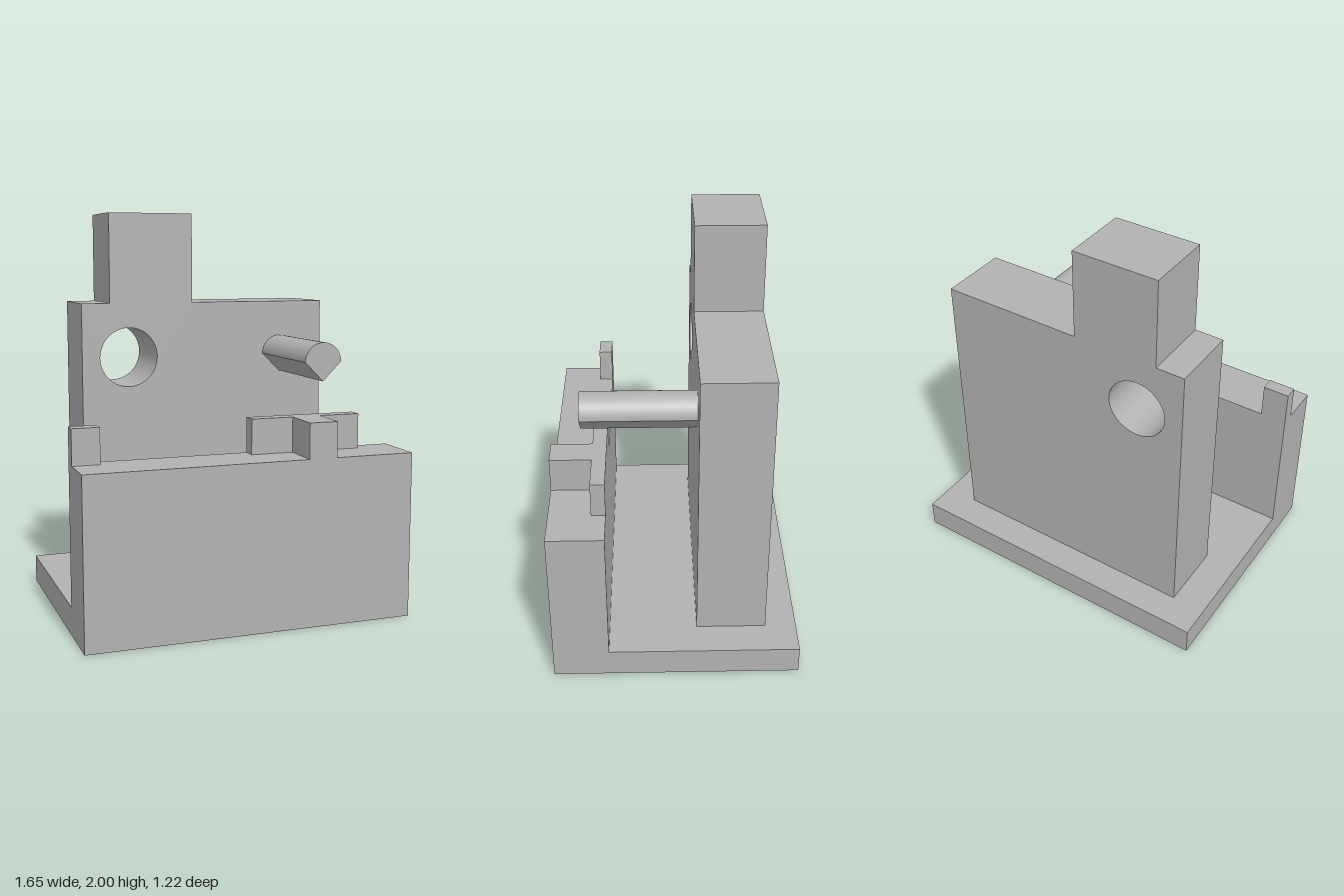
import * as THREE from 'three';
import { toCreasedNormals } from 'three/addons/utils/BufferGeometryUtils.js';

const grey = new THREE.MeshStandardMaterial({ color: 0xb2b2b2 });
grey.name = 'plain grey';

// Shape from corner points
const outline = (points) => new THREE.Shape(points.map(([x, y]) => new THREE.Vector2(x, y)));

// Straight extrusion along z, smooth on curves and sharp at corners
function extrude(shape, z0, z1) {
  const geometry = new THREE.ExtrudeGeometry(shape, { depth: z1 - z0, bevelEnabled: false, curveSegments: 32 });
  geometry.translate(0, 0, z0);
  return toCreasedNormals(geometry, Math.PI / 6);
}

export function createModel() {
  const model = new THREE.Group();
  model.name = 'bracket';
  const add = (name, geometry) => {
    const mesh = new THREE.Mesh(geometry, grey);
    mesh.name = name;
    model.add(mesh);
  };

  // L-shaped base: floor plate and front wall, profile drawn in z and y
  const base = extrude(outline([
    [-0.605, 0], [0.61, 0], [0.61, 0.83], [0.335, 0.83], [0.335, 0.14], [-0.605, 0.14],
  ]), -0.825, 0.825);
  base.rotateY(-Math.PI / 2);
  add('baseAndFrontWall', base);

  // Upright plate with a tower and a round through hole
  const plate = outline([
    [-0.655, 0.14], [0.65, 0.14], [0.65, 1.55], [-0.075, 1.55],
    [-0.075, 2], [-0.51, 2], [-0.51, 1.55], [-0.655, 1.55],
  ]);
  plate.holes.push(new THREE.Path().absarc(-0.413, 1.275, 0.15, 0, Math.PI * 2, true));
  add('uprightPlate', extrude(plate, -0.45, -0.103));

  // Peg: half round on top, pointed below
  const peg = new THREE.Shape();
  peg.moveTo(0.414, 1.18);
  peg.lineTo(0.509, 1.275);
  peg.absarc(0.414, 1.275, 0.095, 0, Math.PI, false);
  peg.closePath();
  add('peg', extrude(peg, -0.103, 0.45));

  // Tab and T-shaped stop on the front wall, drawn in x and -z, raised in y
  const raised = (points) => {
    const geometry = extrude(outline(points.map(([x, z]) => [x, -z])), 0.83, 1.005);
    geometry.rotateX(-Math.PI / 2);
    return geometry;
  };
  add('cornerTab', raised([[-0.825, 0.335], [-0.825, 0.405], [-0.69, 0.405], [-0.69, 0.335]]));
  add('tStop', raised([
    [0.06, 0.335], [0.06, 0.405], [0.275, 0.405], [0.275, 0.61],
    [0.42, 0.61], [0.42, 0.405], [0.632, 0.405], [0.632, 0.335],
  ]));

  return model;
}
